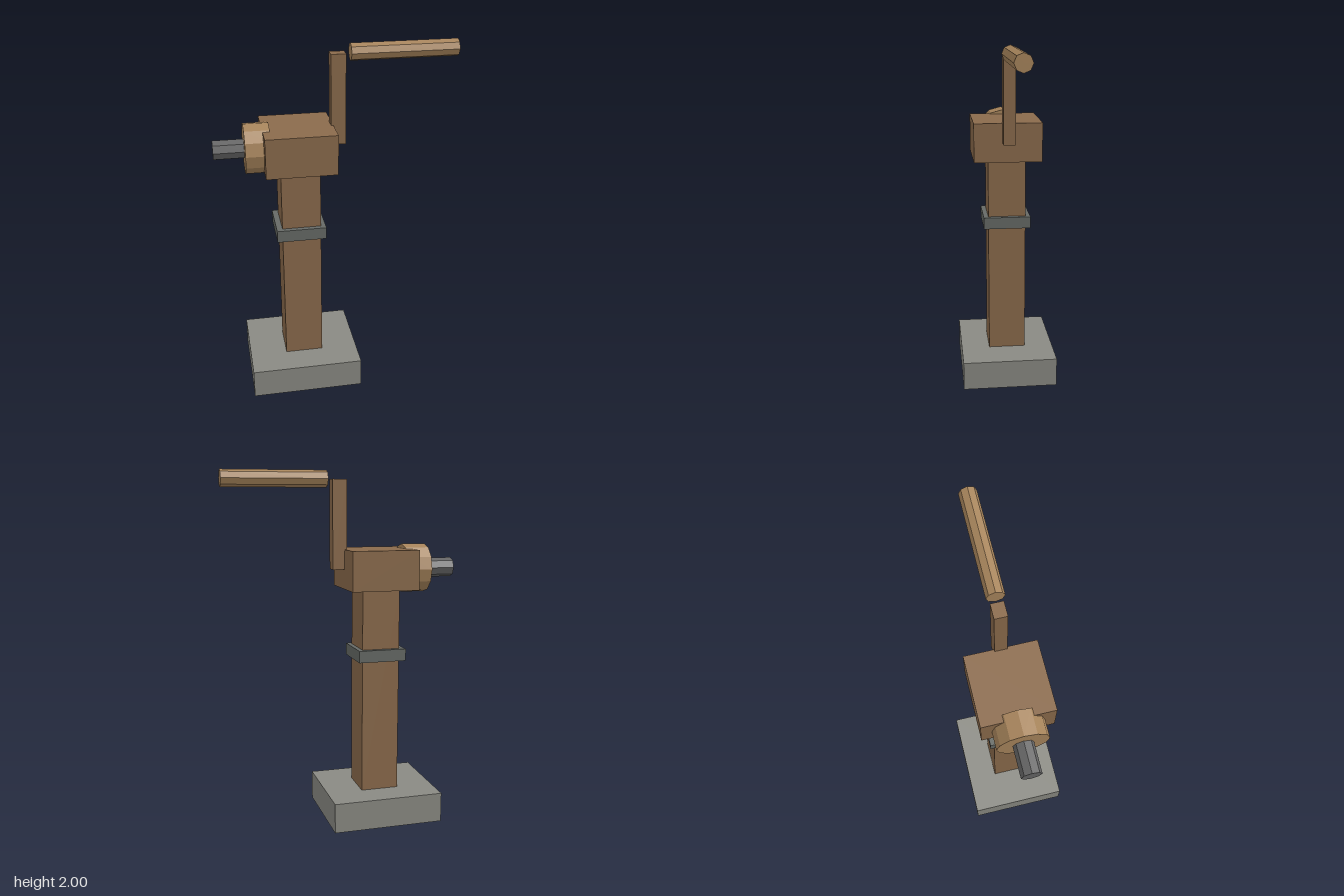
import * as THREE from 'three';

const COLORS = { wood: 0x8b6b4c, paleWood: 0xa8855c, stone: 0x8a8a83, band: 0x666a66, iron: 0x666666 };

export function createModel() {
  const model = new THREE.Group();
  model.name = 'crankPost';

  const materials = {};
  for (const key in COLORS) {
    materials[key] = new THREE.MeshStandardMaterial({ color: COLORS[key], flatShading: true });
  }

  function add(name, geometry, material, x, y) {
    const mesh = new THREE.Mesh(geometry, materials[material]);
    mesh.name = name;
    mesh.position.set(x, y, 0);
    model.add(mesh);
  }

  // Box spanning x0..x1 and y0..y1, centred on z
  function box(name, material, x0, x1, y0, y1, depth) {
    add(name, new THREE.BoxGeometry(x1 - x0, y1 - y0, depth), material, (x0 + x1) / 2, (y0 + y1) / 2);
  }

  // Faceted rod lying along x
  function rod(name, material, x0, x1, y, radius, sides) {
    const geometry = new THREE.CylinderGeometry(radius, radius, x1 - x0, sides).rotateZ(Math.PI / 2);
    add(name, geometry, material, (x0 + x1) / 2, y);
  }

  // Upright stand
  box('base', 'stone', -0.53, 0.107, 0, 0.17, 0.555);
  box('post', 'wood', -0.317, -0.1, 0.17, 1.345, 0.218);
  box('collar', 'band', -0.349, -0.073, 0.937, 1.005, 0.274);
  box('head', 'wood', -0.402, -0.016, 1.345, 1.567, 0.388);

  // Drum and axle on the side of the head
  rod('drum', 'paleWood', -0.5, -0.363, 1.455, 0.138, 12);
  rod('axle', 'iron', -0.667, -0.44, 1.455, 0.055, 8);

  // Crank arm and its grip
  box('crankArm', 'wood', -0.028, 0.053, 1.456, 1.952, 0.067);
  rod('crankGrip', 'paleWood', 0.08, 0.664, 1.953, 0.047, 8);

  return model;
}
